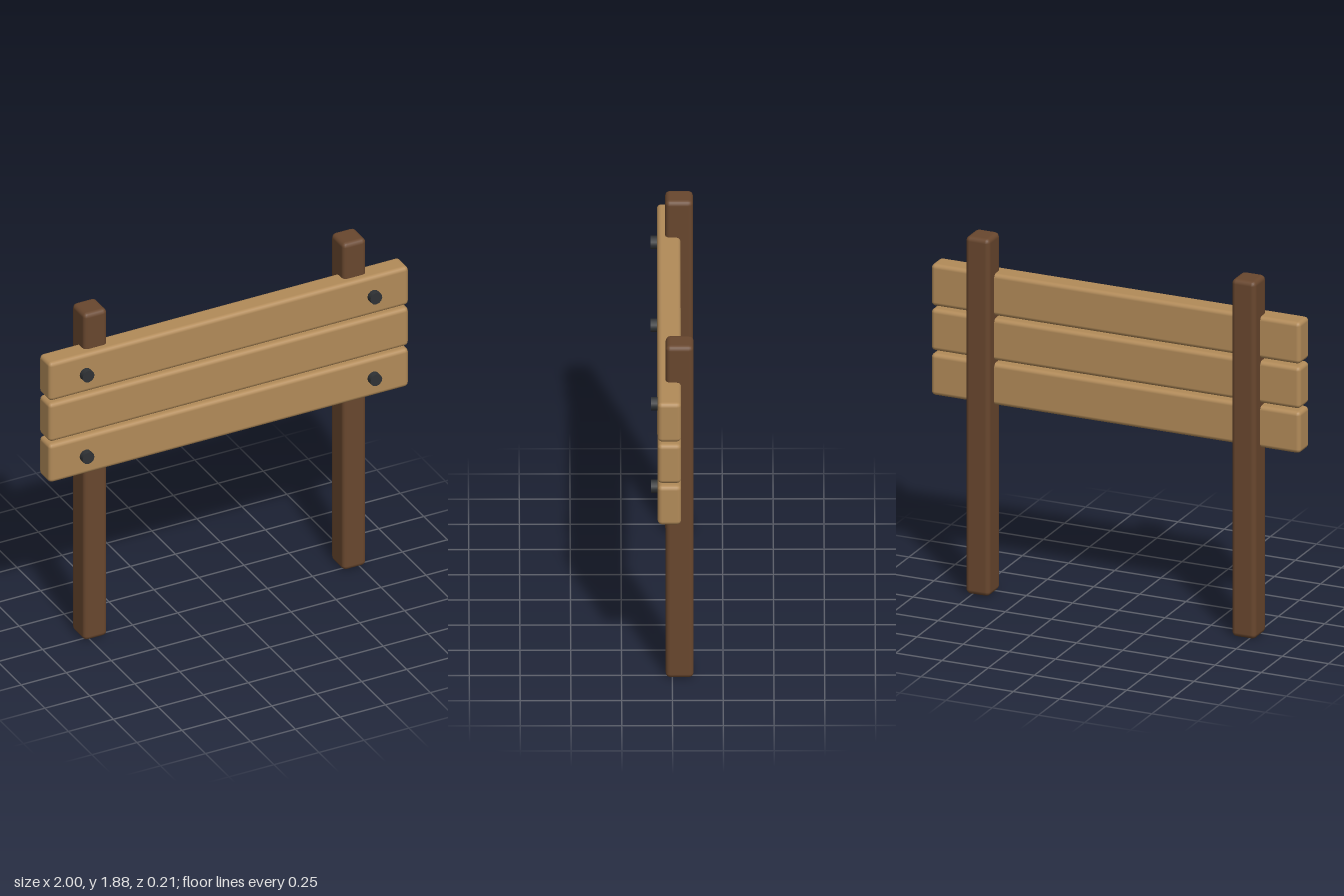
import * as THREE from 'three';
import { RoundedBoxGeometry } from 'three/addons/geometries/RoundedBoxGeometry.js';

function material(name, color) {
  const m = new THREE.MeshStandardMaterial({ color });
  m.name = name;
  return m;
}

export function createModel() {
  const plankWood = material('light plank wood', 0xb28b59);
  const postWood = material('dark post wood', 0x69472e);
  const iron = material('dark iron', 0x2f3235);

  const group = new THREE.Group();
  group.name = 'signBoard';

  const add = (name, geometry, mat, x, y, z) => {
    const mesh = new THREE.Mesh(geometry, mat);
    mesh.name = name;
    mesh.position.set(x, y, z);
    group.add(mesh);
  };

  const postGeometry = new RoundedBoxGeometry(0.13, 1.88, 0.138, 2, 0.024);
  const plankGeometry = new RoundedBoxGeometry(2, 0.22, 0.116, 2, 0.022);
  const boltGeometry = new THREE.CylinderGeometry(0.033, 0.033, 0.034, 12);
  boltGeometry.rotateX(Math.PI / 2);

  // Three horizontal planks
  ['lowerPlank', 'middlePlank', 'upperPlank'].forEach((name, i) => {
    add(name, plankGeometry, plankWood, 0, 1.1 + i * 0.235, 0.015);
  });

  // Posts, with bolts on the outer planks
  for (const [side, s] of [['left', 1], ['right', -1]]) {
    add(side + 'Post', postGeometry, postWood, s * 0.72, 0.94, -0.036);
    add(side + 'LowerBolt', boltGeometry, iron, s * 0.8, 1.1, 0.088);
    add(side + 'UpperBolt', boltGeometry, iron, s * 0.8, 1.57, 0.088);
  }
  return group;
}
